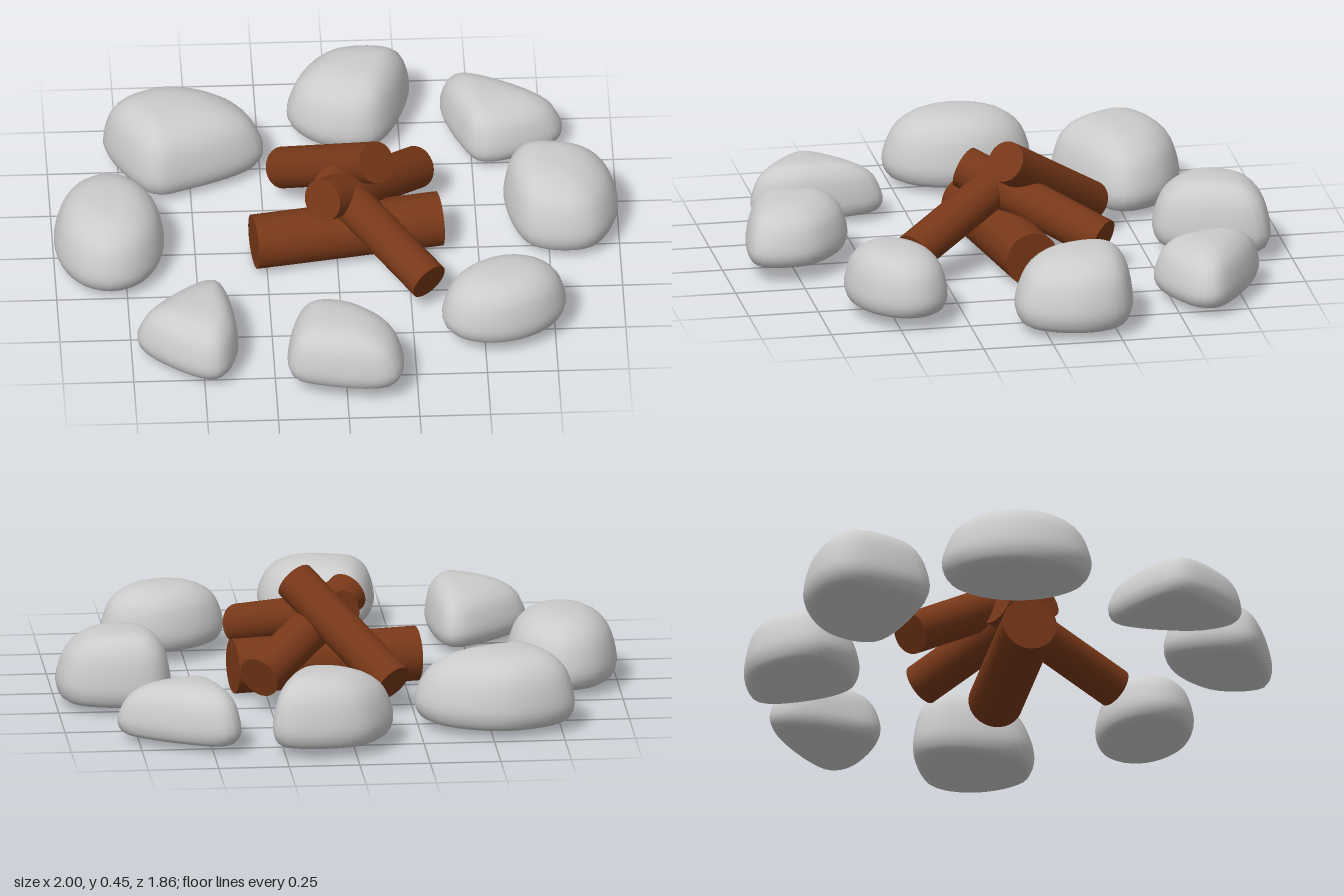
import * as THREE from 'three';
import { mergeVertices } from 'three/addons/utils/BufferGeometryUtils.js';

const stoneMaterial = new THREE.MeshStandardMaterial({ color: 0xcccccc });
const woodMaterial = new THREE.MeshStandardMaterial({ color: 0x783818 });

// Stone side profile from top to bottom: share of the outline, share of the height
const profile = new THREE.SplineCurve([
  [0, 1], [0.35, 0.985], [0.62, 0.91], [0.83, 0.75], [0.94, 0.54], [1, 0.3],
  [0.97, 0.14], [0.87, 0.03], [0.6, 0], [0.3, 0], [0, 0],
].map(([s, h]) => new THREE.Vector2(s, h)));

// Oval plan outline, running left, front, right, back
function oval(x, z, long, short, turn) {
  return Array.from({ length: 12 }, (_, i) => {
    const a = i * Math.PI / 6;
    const p = -long * Math.cos(a);
    const q = short * Math.sin(a);
    return [
      x + p * Math.cos(turn) + q * Math.sin(turn),
      z - p * Math.sin(turn) + q * Math.cos(turn),
    ];
  });
}

// Boulder with a smooth plan outline, a rounded top leaning to a peak and a flat underside
function stone(name, bottom, top, peak, outline) {
  const curve = new THREE.CatmullRomCurve3(
    outline.map(([x, z]) => new THREE.Vector3(x, 0, z)), true);
  const centre = new THREE.Vector3();
  curve.getSpacedPoints(40).slice(1).forEach((p) => centre.addScaledVector(p, 1 / 40));
  const summit = new THREE.Vector3(peak[0], 0, peak[1]);

  let geometry = new THREE.SphereGeometry(1, 40, 24);
  const { position, uv } = geometry.attributes;
  for (let i = 0; i < position.count; i++) {
    const { x: scale, y: h } = profile.getPoint(1 - uv.getY(i));
    const edge = curve.getPointAt((uv.getX(i) + 1) % 1);
    const p = (h > 0.3 ? summit : centre).clone().lerp(edge, scale);
    position.setXYZ(i, p.x, bottom + h * (top - bottom), p.z);
  }
  // Weld the seam so the shading stays smooth
  geometry.deleteAttribute('uv');
  geometry.deleteAttribute('normal');
  geometry = mergeVertices(geometry, 1e-5);
  geometry.computeVertexNormals();
  const mesh = new THREE.Mesh(geometry, stoneMaterial);
  mesh.name = name;
  return mesh;
}

// Round log between two end centres
function log(name, from, to, radius) {
  const a = new THREE.Vector3(...from);
  const b = new THREE.Vector3(...to);
  const mesh = new THREE.Mesh(
    new THREE.CylinderGeometry(radius, radius, a.distanceTo(b), 32), woodMaterial);
  mesh.position.copy(a).lerp(b, 0.5);
  mesh.quaternion.setFromUnitVectors(new THREE.Vector3(0, 1, 0), b.sub(a).normalize());
  mesh.name = name;
  return mesh;
}

export function createModel() {
  const group = new THREE.Group();
  group.name = 'campfire';

  // Ring of stones: two ovals, the rest with a few outline corners
  const ring = new THREE.Group();
  ring.name = 'stoneRing';
  ring.add(
    stone('stoneLeftSide', 0.02, 0.27, [-0.8, 0.01], oval(-0.805, 0.01, 0.195, 0.265, 0)),
    stone('stoneFrontRight', 0.04, 0.26, [0.58, 0.48], oval(0.57, 0.485, 0.228, 0.165, 0.35)),
    stone('stoneRightSide', 0.02, 0.28, [0.74, -0.19],
      [[0.6, -0.22], [0.68, 0.06], [0.9, 0.085], [1, -0.1], [0.95, -0.27], [0.66, -0.32]]),
    stone('stoneBackRight', 0.02, 0.22, [0.54, -0.64],
      [[0.4, -0.78], [0.45, -0.57], [0.53, -0.45], [0.8, -0.55], [0.82, -0.63], [0.45, -0.84]]),
    stone('stoneBack', 0.03, 0.28, [0.13, -0.76],
      [[-0.145, -0.7], [-0.03, -0.56], [0.15, -0.54], [0.26, -0.7], [0.28, -0.9], [-0.02, -0.91]]),
    stone('stoneBackLeft', 0.02, 0.28, [-0.6, -0.52],
      [[-0.8, -0.57], [-0.64, -0.3], [-0.52, -0.32], [-0.24, -0.48], [-0.3, -0.64],
        [-0.54, -0.74], [-0.76, -0.66]]),
    stone('stoneFrontLeft', 0.02, 0.22, [-0.48, 0.61],
      [[-0.73, 0.57], [-0.69, 0.66], [-0.46, 0.81], [-0.38, 0.68], [-0.43, 0.35], [-0.48, 0.34]]),
    stone('stoneFront', 0.05, 0.26, [-0.05, 0.74],
      [[-0.2, 0.84], [-0.1, 0.895], [0.17, 0.91], [0.19, 0.72], [0.02, 0.56], [-0.14, 0.56]]),
  );

  // Stack of logs: one lying flat, three leaning across it
  const stack = new THREE.Group();
  stack.name = 'logStack';
  stack.add(
    log('logBase', [-0.295, 0.097, 0.065], [0.365, 0.097, -0.045], 0.097),
    log('logTop', [-0.175, 0.11, -0.355], [0.14, 0.39, 0.01], 0.074),
    log('logBack', [0.295, 0.13, -0.31], [-0.055, 0.31, 0.12], 0.076),
    log('logFront', [0.31, 0.13, 0.375], [-0.03, 0.29, -0.045], 0.072),
  );

  group.add(ring, stack);
  return group;
}
